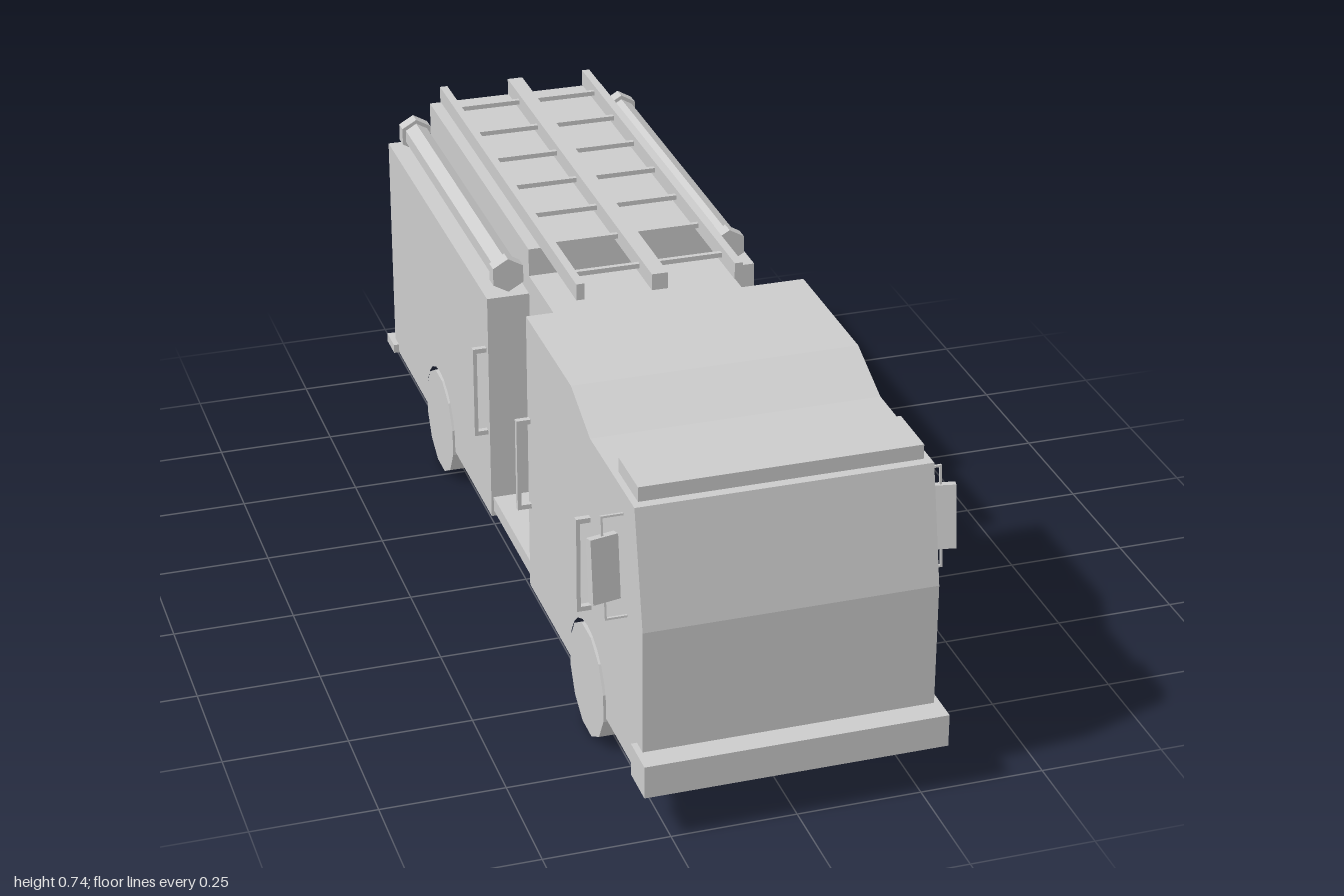
import * as THREE from 'three';

const material = new THREE.MeshStandardMaterial({ color: 0xcccccc, flatShading: true });
const sheet = new THREE.MeshStandardMaterial({ color: 0xcccccc, flatShading: true, side: THREE.DoubleSide });

const HALF = 0.29; // half width of the bodywork
const CORE = 0.2; // half width of the central core
const AXLE_Y = 0.112;
const FLOOR = 0.095;

export function createModel() {
  const model = new THREE.Group();
  model.name = 'fireEngine';

  const add = (name, geometry, mat = material, parent = model) => {
    const mesh = new THREE.Mesh(geometry, mat);
    mesh.name = name;
    parent.add(mesh);
    return mesh;
  };

  // Box given by its minimum and maximum on each axis
  const box = (name, x0, x1, y0, y1, z0, z1, parent = model) => {
    const mesh = add(name, new THREE.BoxGeometry(x1 - x0, y1 - y0, z1 - z0), material, parent);
    mesh.position.set((x0 + x1) / 2, (y0 + y1) / 2, (z0 + z1) / 2);
    return mesh;
  };

  // Folded sheet: a path swept from t0 to t1, placed by the rule "place"
  const foldedSheet = (name, path, t0, t1, place) => {
    const positions = [];
    for (let i = 0; i < path.length - 1; i++) {
      const a = place(path[i], t0), b = place(path[i + 1], t0);
      const c = place(path[i + 1], t1), d = place(path[i], t1);
      positions.push(...a, ...b, ...c, ...a, ...c, ...d);
    }
    const geometry = new THREE.BufferGeometry();
    geometry.setAttribute('position', new THREE.Float32BufferAttribute(positions, 3));
    geometry.computeVertexNormals();
    return add(name, geometry, sheet);
  };
  const alongX = ([z, y], x) => [x, y, z];
  const alongY = ([x, z], y) => [x, y, z];
  const alongZ = ([x, y], z) => [x, y, z];

  // Pair of side panels with a wheel arch; outline (z, y) runs from front bottom to rear bottom
  const sidePanels = (name, outline, axleZ) => {
    const shape = new THREE.Shape();
    const radius = 0.122;
    const dip = Math.asin((AXLE_Y - FLOOR) / radius);
    shape.moveTo(...outline[outline.length - 1]);
    shape.lineTo(axleZ - radius * Math.cos(dip), FLOOR);
    shape.absarc(axleZ, AXLE_Y, radius, Math.PI + dip, -dip, true);
    outline.slice(0, -1).forEach(([z, y]) => shape.lineTo(z, y));
    const geometry = new THREE.ShapeGeometry(shape, 6).rotateY(-Math.PI / 2).translate(-HALF, 0, 0);
    add(name + 'Right', geometry, sheet);
    add(name + 'Left', geometry, sheet).scale.x = -1;
  };

  // Cab, open underneath
  const cab = [[0.95, FLOOR], [0.95, 0.42], [0.9, 0.655], [0.62, 0.655], [0.495, 0.705], [0.18, 0.705], [0.18, FLOOR]];
  foldedSheet('cabShell', cab, HALF, -HALF, alongX);
  sidePanels('cabSide', cab, 0.595);
  box('lightBar', -0.277, 0.277, 0.655, 0.685, 0.76, 0.88);
  box('frontBumper', -0.302, 0.302, FLOOR, 0.163, 0.915, 1);

  // Pump section between cab and rear body, open underneath
  foldedSheet('pumpHousing', [[-CORE, 0.108], [-CORE, 0.645], [CORE, 0.645], [CORE, 0.108]], 0.18, -0.12, alongZ);

  // Rear body: side lockers, taller core and recessed rear panel
  sidePanels('lockerSide', [[-0.12, FLOOR], [-0.12, 0.605], [-0.97, 0.605], [-0.97, FLOOR]], -0.545);
  for (const s of [-1, 1]) {
    foldedSheet('lockerTop', [[s * CORE, 0.605], [s * HALF, 0.605]], s > 0 ? -0.12 : -0.97, s > 0 ? -0.97 : -0.12, alongZ);
  }
  foldedSheet('coreTop', [[-CORE, 0.605], [-CORE, 0.705], [CORE, 0.705], [CORE, 0.605]], -0.12, -0.935, alongZ);
  foldedSheet('rearWall',
    [[-HALF, -0.97], [-CORE, -0.97], [-CORE, -0.935], [CORE, -0.935], [CORE, -0.97], [HALF, -0.97]],
    0.605, FLOOR, alongY);
  foldedSheet('coreRear', [[-CORE, -0.935], [CORE, -0.935]], 0.705, 0.605, alongY);
  foldedSheet('bodyFrontLower', [[-HALF, -0.12], [HALF, -0.12]], FLOOR, 0.605, alongY);
  foldedSheet('bodyFrontUpper', [[-CORE, -0.12], [CORE, -0.12]], 0.605, 0.705, alongY);
  box('rearStep', -0.302, 0.302, FLOOR, 0.115, -1, -0.935);

  // Wheels
  const wheelGeometry = new THREE.CylinderGeometry(0.116, 0.116, 0.074, 12, 1, false, Math.PI / 12).rotateZ(Math.PI / 2);
  for (const s of [-1, 1]) {
    for (const z of [0.595, -0.545]) {
      add(z > 0 ? 'frontWheel' : 'rearWheel', wheelGeometry).position.set(s * 0.256, AXLE_Y, z);
    }
  }

  // Roof ladder
  const ladder = new THREE.Group();
  ladder.name = 'ladder';
  model.add(ladder);
  for (const [x, w] of [[-0.166, 0.0085], [0, 0.017], [0.166, 0.0085]]) {
    box('ladderRail', x - w, x + w, 0.705, 0.74, -0.94, 0.14, ladder);
  }
  for (let i = 0; i < 7; i++) {
    const z = -0.847 + i * 0.15;
    box('ladderRung', -0.16, 0.16, 0.717, 0.727, z - 0.005, z + 0.005, ladder);
  }

  // Fittings built on the left and mirrored to the right
  for (const s of [-1, 1]) {
    const fittings = new THREE.Group();
    fittings.name = s > 0 ? 'leftFittings' : 'rightFittings';
    fittings.scale.x = s;
    model.add(fittings);

    box('runningBoard', CORE, 0.285, 0.108, 0.14, -0.12, 0.18, fittings);

    // Six-sided hose tube with wider end caps
    const tube = (name, r, z0, z1) => {
      const geometry = new THREE.CylinderGeometry(r, r, z1 - z0, 6).rotateX(Math.PI / 2);
      add(name, geometry, material, fittings).position.set(0.24, 0.645, (z0 + z1) / 2);
    };
    tube('hoseTube', 0.028, -0.92, -0.15);
    tube('hoseTubeCap', 0.037, -0.935, -0.905);
    tube('hoseTubeCap', 0.037, -0.165, -0.135);

    // Grab handles
    for (const z of [0.615, 0.195, -0.14]) {
      box('grabBar', 0.311, 0.319, 0.284, 0.486, z - 0.006, z + 0.006, fittings);
      for (const y of [0.289, 0.481]) {
        box('grabBracket', 0.288, 0.319, y - 0.005, y + 0.005, z - 0.006, z + 0.006, fittings);
      }
    }

    // Wing mirror on thin brackets, leaning with the windscreen
    const mirror = new THREE.Group();
    mirror.name = 'wingMirror';
    mirror.position.set(0.29, 0.505, 0.842);
    mirror.rotation.x = -0.12;
    fittings.add(mirror);
    const panel = box('mirrorPanel', 0.012, 0.071, -0.065, 0.065, -0.008, 0.008, mirror);
    panel.rotation.y = -0.25;
    for (const d of [-1, 1]) {
      box('mirrorArm', -0.004, 0.044, d * 0.102 - 0.002, d * 0.102 + 0.002, -0.003, 0.003, mirror);
      box('mirrorPost', 0.04, 0.044, d * 0.082 - 0.02, d * 0.082 + 0.02, -0.003, 0.003, mirror);
    }
  }
  return model;
}
